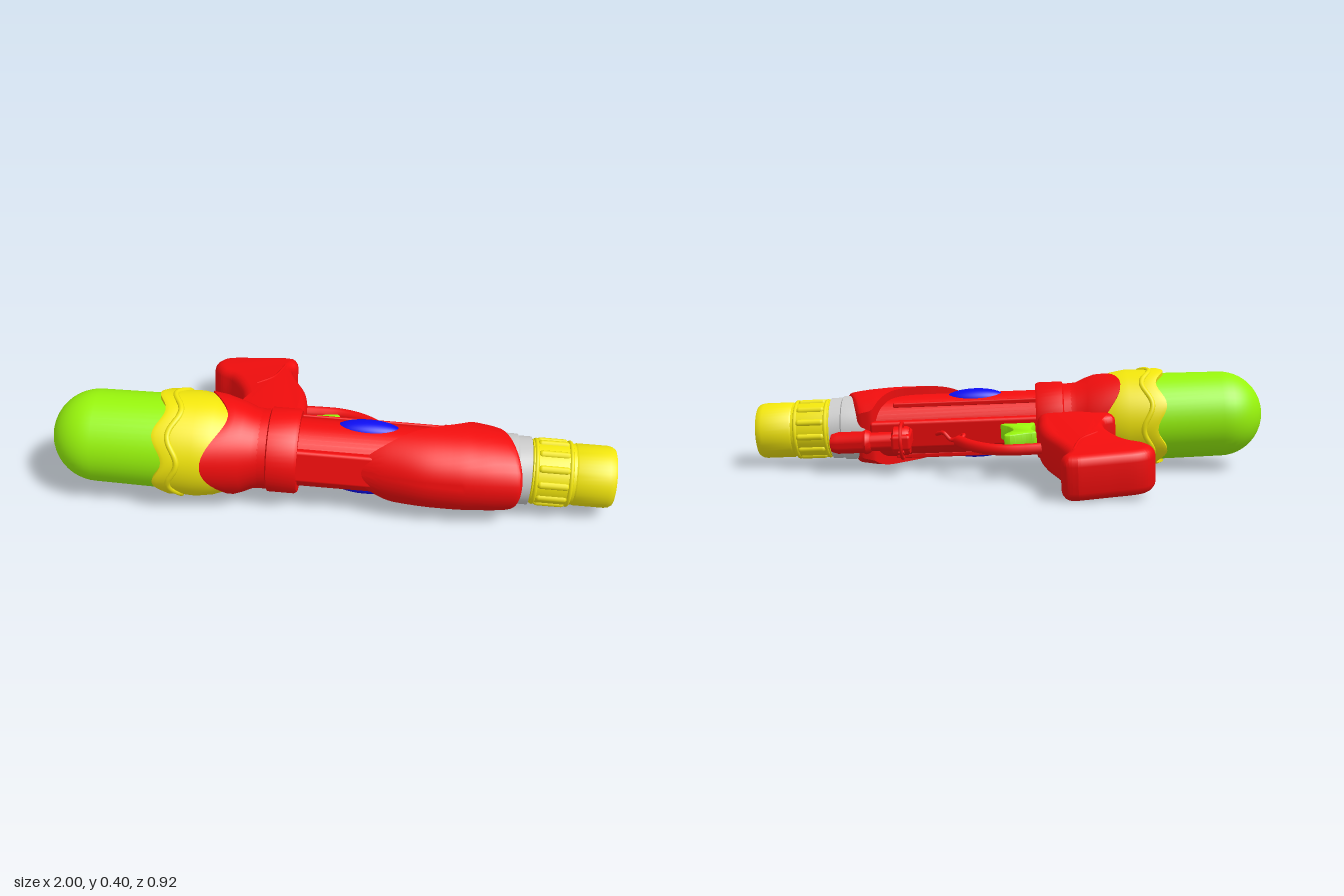
import * as THREE from 'three';
import { toCreasedNormals } from 'three/addons/utils/BufferGeometryUtils.js';
import { RoundedBoxGeometry } from 'three/addons/geometries/RoundedBoxGeometry.js';

const mat = (color) => new THREE.MeshStandardMaterial({ color, side: THREE.DoubleSide });
const RED = mat(0xf20d0d), YELLOW = mat(0xf2e60c), GREEN = mat(0x98f50c);
const BLUE = mat(0x0d0df2), GREY = mat(0xcccccc);
const V = (x, y, z) => new THREE.Vector3(x, y, z);

// Local frame: +x along the barrel to the nozzle, +z the toy's upper side, y its width.
export function createModel() {
  const model = new THREE.Group();
  const gun = new THREE.Group();
  gun.name = 'waterBlaster';
  model.add(gun);

  const add = (name, geo, material, pos = [0, 0, 0]) => {
    const mesh = new THREE.Mesh(geo, material);
    mesh.name = name;
    mesh.position.set(...pos);
    gun.add(mesh);
    return mesh;
  };

  // Surface of revolution about x from [x, radius] pairs; warp(p, angle) may move points
  const turn = (profile, segments = 48, warp) => {
    const geo = new THREE.LatheGeometry(profile.map(([x, r]) => new THREE.Vector2(r, x)), segments);
    geo.rotateZ(-Math.PI / 2);
    if (warp) {
      const pos = geo.attributes.position, p = V();
      for (let i = 0; i < pos.count; i++) {
        p.fromBufferAttribute(pos, i);
        warp(p, Math.atan2(p.y, p.z));
        pos.setXYZ(i, p.x, p.y, p.z);
      }
    }
    return toCreasedNormals(geo, 0.6);
  };

  // Side outline in x-z, given thickness along y with rounded edges
  const slab = (points, width, bevel) => {
    const pts = points.map(([x, z]) => new THREE.Vector2(x, z));
    const shape = new THREE.Shape();
    shape.moveTo(pts[0].x, pts[0].y);
    shape.splineThru([...pts.slice(1), pts[0]]);
    const geo = new THREE.ExtrudeGeometry(shape, {
      depth: width - 2 * bevel, bevelSize: bevel, bevelThickness: bevel,
      bevelOffset: -bevel, bevelSegments: 4, curveSegments: 48,
    });
    geo.translate(0, 0, bevel - width / 2);
    geo.rotateX(Math.PI / 2);
    return toCreasedNormals(geo, 0.6);
  };

  const tube = (points, r, closed = false, n = 48) =>
    new THREE.TubeGeometry(new THREE.CatmullRomCurve3(points, closed), n, r, 10, closed);

  // Water tank with a domed end
  const dome = [];
  for (let i = 0; i <= 12; i++) {
    const a = (i / 12) * Math.PI / 2;
    dome.push([-0.835 - 0.165 * Math.cos(a), 0.167 * Math.sin(a)]);
  }
  add('waterTank', turn([...dome, [-0.5, 0.172]]), GREEN);

  // Yellow collar with a wavy edge and a wavy raised bead
  const wave = (a) => 0.018 * Math.cos(6 * a);
  add('tankCollar', turn(
    [[-0.595, 0.165], [-0.595, 0.186], [-0.58, 0.191], [-0.54, 0.187], [-0.47, 0.19], [-0.41, 0.18], [-0.34, 0.155]],
    72, (p, a) => { if (p.x < -0.55) p.x += wave(a); }), YELLOW);
  const bead = [];
  for (let i = 0; i < 48; i++) {
    const a = (i / 48) * Math.PI * 2;
    bead.push(V(-0.54 + wave(a), 0.185 * Math.sin(a), 0.185 * Math.cos(a)));
  }
  add('collarBead', tube(bead, 0.011, true, 144), YELLOW);

  // Red flared shroud with three lobes reaching over the collar
  add('rearShroud', turn(
    [[-0.40, 0.15], [-0.40, 0.182], [-0.36, 0.178], [-0.31, 0.163], [-0.27, 0.146], [-0.24, 0.143]],
    72, (p, a) => {
      const k = THREE.MathUtils.clamp((-0.3 - p.x) / 0.1, 0, 1) * Math.cos(3 * a);
      p.x -= 0.04 * k;
      p.y *= 1 + 0.05 * k;
      p.z *= 1 + 0.07 * k;
    }), RED);

  // Clamp band and main barrel
  add('clampBand', turn([[-0.28, 0.1], [-0.28, 0.145], [-0.22, 0.143], [-0.215, 0.152], [-0.12, 0.152], [-0.11, 0.146], [-0.11, 0.1]]), RED);
  add('barrel', turn([[-0.15, 0.122], [0.6, 0.122]]), RED);
  add('upperRail', new RoundedBoxGeometry(0.5, 0.12, 0.05, 3, 0.012), RED, [0.1, 0, 0.107]);
  add('lowerRail', new RoundedBoxGeometry(0.68, 0.11, 0.05, 3, 0.012), RED, [0.2, 0, -0.11]);
  for (const s of [-1, 1]) {
    add('sideRib', new RoundedBoxGeometry(0.6, 0.02, 0.012, 2, 0.005), RED, [0.15, s * 0.104, -0.07]);
    const badge = add('ovalBadge', new THREE.SphereGeometry(1, 32, 20), BLUE, [0.13, s * 0.105, 0]);
    badge.scale.set(0.118, 0.036, 0.046);
  }

  // Cowling: arcs round the barrel that reach further down toward the nozzle
  const stations = [
    [0.11, 0.125, 0.125, 0.13], [0.2, 0.105, 0.145, 0.155], [0.32, 0.045, 0.152, 0.18],
    [0.44, -0.01, 0.153, 0.184], [0.5, -0.07, 0.15, 0.182], [0.55, -0.12, 0.146, 0.177],
    [0.61, -0.122, 0.137, 0.166], [0.625, -0.112, 0.122, 0.15],
  ];
  const track = (k) => new THREE.SplineCurve(stations.map((s) => new THREE.Vector2(s[0], s[k])));
  const [low, wide, tall] = [track(1), track(2), track(3)];
  const verts = [], faces = [], rings = 36, n = 28;
  for (let i = 0; i <= rings; i++) {
    const t = i / rings, { x, y: zb } = low.getPoint(t), rz = tall.getPoint(t).y;
    const reach = Math.acos(THREE.MathUtils.clamp(zb / rz, -1, 1));
    const rake = 0.05 * THREE.MathUtils.smoothstep(x, 0.45, 0.62);
    for (let j = 0; j < n; j++) {
      const a = reach * (j / (n - 1) * 2 - 1), z = rz * Math.cos(a);
      verts.push(x + rake * z / 0.16, wide.getPoint(t).y * Math.sin(a), z);
      const p = i * n + j, q = i * n + (j + 1) % n;
      if (i < rings) faces.push(p, p + n, q, q, p + n, q + n);
      else if (j > 0 && j < n - 1) faces.push(i * n, p + 1, p);
    }
  }
  const cowl = new THREE.BufferGeometry();
  cowl.setAttribute('position', new THREE.Float32BufferAttribute(verts, 3));
  cowl.setIndex(faces);
  add('cowling', toCreasedNormals(cowl, 0.6), RED);

  // Grey ring, then the hollow yellow nozzle with grip ridges
  add('greyRing', turn([[0.54, 0.122], [0.56, 0.127], [0.655, 0.127], [0.66, 0.121], [0.705, 0.121], [0.71, 0.09]]), GREY);
  add('nozzle', turn([
    [0.705, 0.09], [0.71, 0.112], [0.84, 0.112], [0.86, 0.107], [0.865, 0.11], [0.975, 0.11], [0.99, 0.107],
    [1, 0.1], [0.997, 0.09], [0.97, 0.085], [0.86, 0.08], [0.84, 0.045]]), YELLOW);
  for (const x of [0.722, 0.842]) {
    const band = add('nozzleBand', new THREE.TorusGeometry(0.11, 0.008, 8, 48), YELLOW, [x, 0, 0]);
    band.rotation.y = Math.PI / 2;
  }
  for (let i = 0; i < 12; i++) {
    const a = (i / 12) * Math.PI * 2;
    const ridge = add('nozzleRidge', new THREE.CapsuleGeometry(0.014, 0.085, 4, 10), YELLOW,
      [0.782, 0.107 * Math.sin(a), 0.107 * Math.cos(a)]);
    ridge.rotation.z = Math.PI / 2;
  }
  const plug = add('nozzlePlug', new THREE.CylinderGeometry(0.048, 0.048, 0.02, 32), RED, [0.84, 0, 0]);
  plug.rotation.z = Math.PI / 2;

  // Pistol grip, slightly slimmer toward the barrel
  const grip = slab([
    [-0.25, -0.725], [-0.205, -0.715], [-0.192, -0.67], [-0.21, -0.615], [-0.185, -0.53], [-0.14, -0.42],
    [-0.12, -0.33], [-0.115, -0.23], [-0.13, -0.12], [-0.26, -0.1], [-0.39, -0.13], [-0.41, -0.2],
    [-0.365, -0.24], [-0.37, -0.34], [-0.40, -0.43], [-0.44, -0.5], [-0.495, -0.545], [-0.522, -0.6],
    [-0.505, -0.655], [-0.46, -0.685], [-0.36, -0.705]], 0.165, 0.035);
  const gp = grip.attributes.position;
  for (let i = 0; i < gp.count; i++) gp.setY(i, gp.getY(i) * THREE.MathUtils.mapLinear(gp.getZ(i), -0.72, -0.1, 1, 0.84));
  add('pistolGrip', grip, RED);
  for (const s of [-1, 1]) {
    add('gripCrease', tube([V(-0.24, s * 0.078, -0.62), V(-0.27, s * 0.076, -0.5), V(-0.33, s * 0.073, -0.42)], 0.006, false, 20), RED);
  }

  // Trigger and its guard
  add('trigger', slab([
    [-0.11, -0.12], [-0.09, -0.2], [-0.11, -0.25], [-0.07, -0.265], [-0.005, -0.285], [0.012, -0.265],
    [-0.02, -0.215], [-0.005, -0.17], [0.03, -0.12]], 0.065, 0.008), GREEN);
  add('triggerGuard', tube([
    V(-0.15, 0, -0.355), V(-0.07, 0, -0.362), V(0.01, 0, -0.36), V(0.08, 0, -0.335), V(0.14, 0, -0.29), V(0.19, 0, -0.23)], 0.022), RED);
  add('guardStrut', tube([
    V(0.185, 0, -0.24), V(0.17, 0.012, -0.195), V(0.22, -0.012, -0.175), V(0.25, 0.012, -0.16), V(0.28, 0, -0.13)], 0.008), RED);

  // Pump fitting under the barrel
  const px = (name, profile, material) => add(name, turn(profile, 28), material, [0, -0.008, -0.175]);
  px('pumpFitting', [
    [0.38, 0], [0.38, 0.05], [0.39, 0.056], [0.44, 0.056], [0.45, 0.036], [0.53, 0.036], [0.535, 0.042], [0.55, 0.048], [0.565, 0.042],
    [0.66, 0.042], [0.685, 0.034], [0.69, 0.02], [0.67, 0.018]], RED);
  px('pumpTip', [[0.67, 0.02], [0.672, 0]], GREEN);
  const ring = add('pumpRing', new THREE.TorusGeometry(0.068, 0.007, 8, 40), RED, [0.41, -0.008, -0.175]);
  ring.rotation.y = Math.PI / 2;
  for (let i = 0; i < 3; i++) {
    const spoke = add('ringSpoke', new THREE.BoxGeometry(0.02, 0.136, 0.012), RED, [0.41, -0.008, -0.175]);
    spoke.rotation.x = (i / 3) * Math.PI;
  }
  add('pumpBracket', new RoundedBoxGeometry(0.075, 0.06, 0.15, 2, 0.012), RED, [0.41, 0, -0.165]);

  // The toy lies on its side, rolled and tilted a little
  gun.rotation.set(-0.16, -0.009, -0.044);
  gun.position.set(0, 0.185, 0.25);
  return model;
}
